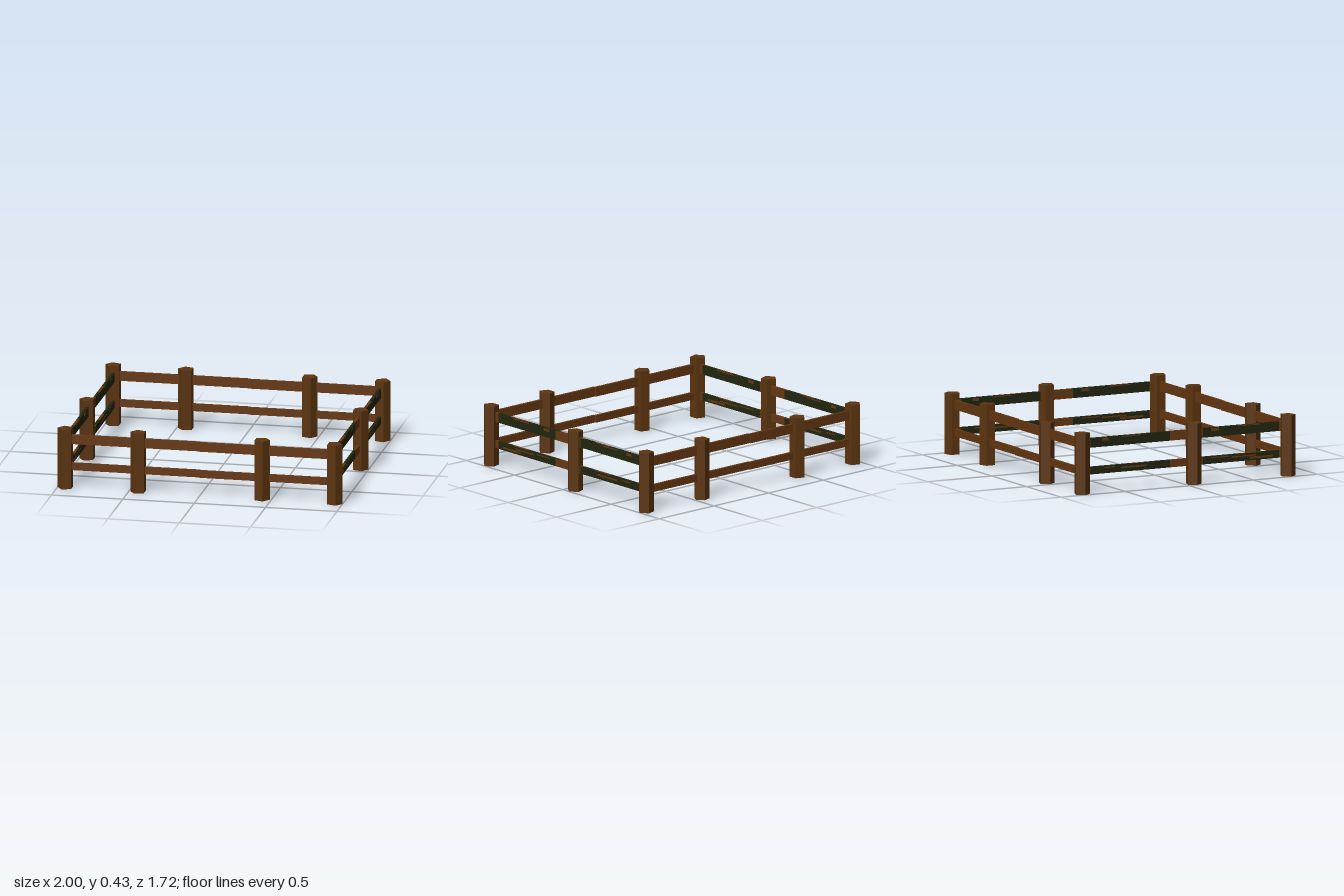
import * as THREE from 'three';

const flat = (name, color) => {
  const m = new THREE.MeshStandardMaterial({ color, flatShading: true });
  m.name = name;
  return m;
};

export function createModel() {
  const postWood = flat('post brown', 0x5c3510);
  const railWood = flat('rail brown', 0x663811);
  const moss = flat('dark moss', 0x22260f);

  const fence = new THREE.Group();
  fence.name = 'fence';

  const box = (parent, name, size, pos, material) => {
    const mesh = new THREE.Mesh(new THREE.BoxGeometry(...size), material);
    mesh.position.set(...pos);
    mesh.name = name;
    parent.add(mesh);
  };

  // Five-sided posts, with one corner pointing outward along x
  const postGeo = new THREE.CylinderGeometry(0.056, 0.056, 0.425, 5).rotateY(Math.PI / 2);
  const posts = [[0.944, 0.808], [0.434, 0.808], [0.434, -0.797], [0.944, -0.797], [0.944, -0.0635]];

  // Rail levels: [centre height, rail height]
  const levels = [[0.348, 0.066], [0.155, 0.052]];

  // Side rail stretches: [start z, end z, top is mossy, faces are mossy]
  const stretches = [
    [-0.80, -0.74, true, false], [-0.74, -0.42, true, true], [-0.42, -0.27, false, true],
    [-0.27, -0.15, true, true], [-0.15, -0.12, false, true], [-0.12, 0.10, false, false],
    [0.10, 0.135, true, false], [0.135, 0.43, true, true], [0.43, 0.58, false, true],
    [0.58, 0.73, true, true], [0.73, 0.80, false, false],
  ];

  // Bare wood streaks on the side rails: [level, start z, end z, height offset, height]
  const streaks = [
    [0, 0.41, 0.58, 0.027, 0.006], [0, 0.20, 0.26, 0.018, 0.02],
    [0, -0.50, -0.35, 0.026, 0.006], [0, -0.65, -0.60, 0.018, 0.02],
    [1, 0.50, 0.68, -0.008, 0.014], [1, 0.36, 0.55, 0.008, 0.01],
    [1, 0.20, 0.34, 0.016, 0.007], [1, -0.50, -0.30, 0.004, 0.012],
    [1, -0.64, -0.55, 0.014, 0.008],
  ];

  for (const side of [1, -1]) {
    // Each half of the pen is the other turned half way round
    const half = new THREE.Group();
    half.name = side > 0 ? 'leftHalf' : 'rightHalf';
    half.rotation.y = side > 0 ? 0 : Math.PI;
    fence.add(half);

    for (const [x, z] of posts) {
      const post = new THREE.Mesh(postGeo, postWood);
      post.name = 'post';
      post.position.set(x, 0.2125, z);
      half.add(post);
    }

    for (const [y, h] of levels) {
      // Front and back rails, slightly offset where the halves meet
      box(half, 'frontRail', [0.944, h, 0.018], [0.472, y, 0.805], railWood);
      box(half, 'backRail', [0.944, h, 0.018], [0.472, y, -0.797], railWood);

      // Side rails with mossy and bare stretches
      for (const [a, b, topMoss, faceMoss] of stretches) {
        const face = faceMoss ? moss : railWood;
        const top = topMoss ? moss : railWood;
        box(half, 'sideRail', [0.02, h, b - a], [0.935, y, side * (a + b) / 2],
          [face, face, top, top, face, face]);
      }
    }

    for (const [level, a, b, dy, h] of streaks) {
      box(half, 'woodStreak', [0.022, h, b - a],
        [0.935, levels[level][0] + dy, side * (a + b) / 2], railWood);
    }
  }
  return fence;
}
